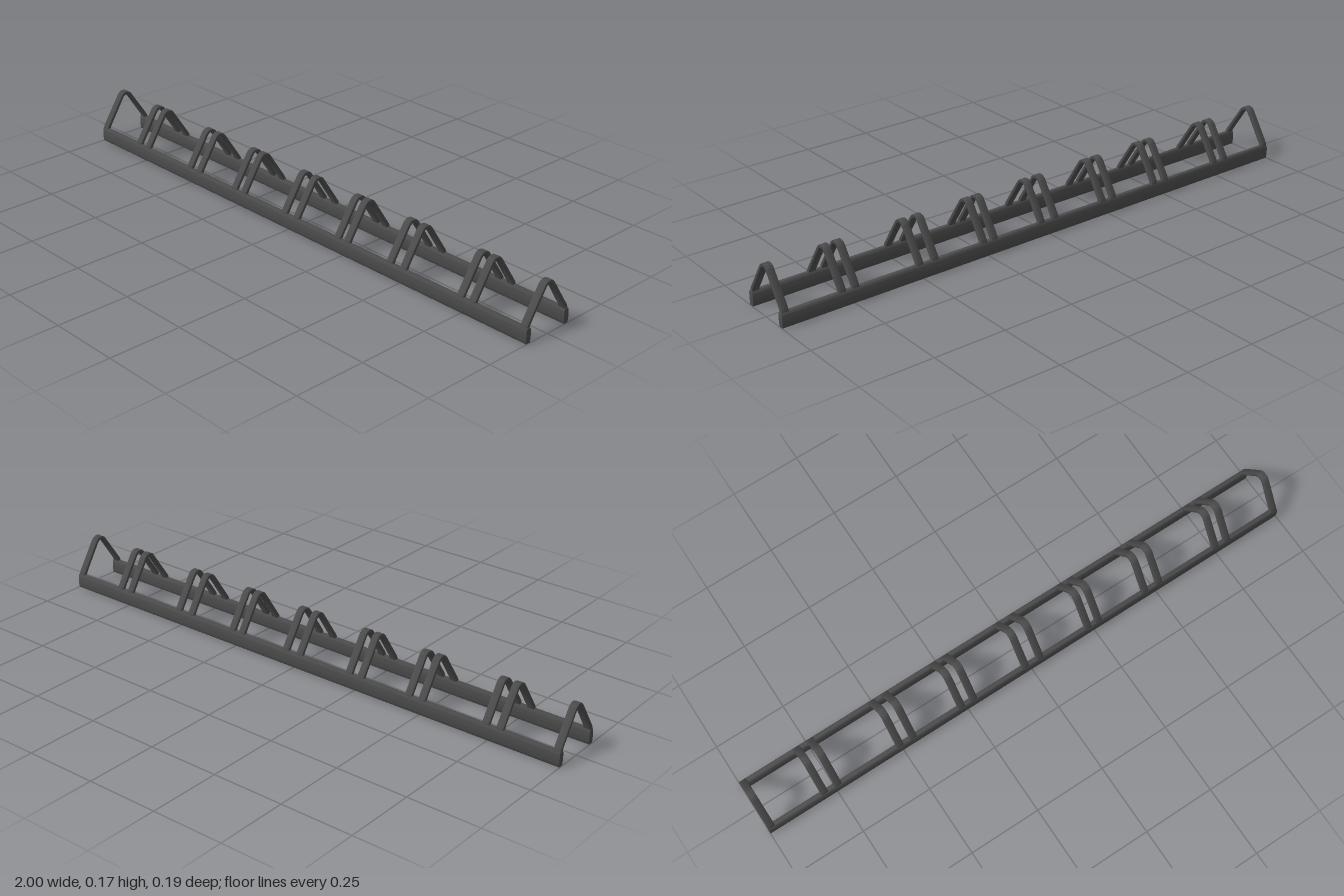
import * as THREE from 'three';
import { toCreasedNormals } from 'three/addons/utils/BufferGeometryUtils.js';

// Extrude a z-y outline along x, centred, with softly rounded edges
function extrudeAlongX(shape, length, bevel) {
  const geometry = new THREE.ExtrudeGeometry(shape, {
    depth: length - 2 * bevel, curveSegments: 6,
    bevelEnabled: true, bevelThickness: bevel, bevelSize: bevel,
    bevelOffset: -bevel, bevelSegments: 2,
  });
  geometry.translate(0, 0, -(length - 2 * bevel) / 2);
  geometry.rotateY(-Math.PI / 2);
  return toCreasedNormals(geometry, 0.8);
}

const mirror = (points) => points.map((p) => new THREE.Vector2(-p.x, p.y)).reverse();

// Bent strip: straight legs, sloping sides and a rounded peak
function hoopShape() {
  const outer = new THREE.Path()
    .moveTo(0.093, 0.02).lineTo(0.093, 0.042)
    .quadraticCurveTo(0.092, 0.054, 0.086, 0.064)
    .lineTo(0.022, 0.161)
    .quadraticCurveTo(0.013, 0.173, 0, 0.173).getPoints(6);
  const inner = new THREE.Path()
    .moveTo(0, 0.162).quadraticCurveTo(0.008, 0.162, 0.014, 0.154)
    .lineTo(0.075, 0.059)
    .quadraticCurveTo(0.079, 0.052, 0.079, 0.042)
    .lineTo(0.079, 0.02).getPoints(6);
  return new THREE.Shape([
    ...outer, ...mirror(outer).slice(1), ...mirror(inner), ...inner.slice(1),
  ]);
}

// Slightly bulging rail section, centred on z = 0
function railShape() {
  return new THREE.Shape()
    .moveTo(-0.006, 0).lineTo(0.006, 0)
    .quadraticCurveTo(0.009, 0, 0.009, 0.004)
    .quadraticCurveTo(0.013, 0.026, 0.009, 0.046)
    .quadraticCurveTo(0.007, 0.052, 0, 0.052)
    .quadraticCurveTo(-0.007, 0.052, -0.009, 0.046)
    .quadraticCurveTo(-0.013, 0.026, -0.009, 0.004)
    .quadraticCurveTo(-0.009, 0, -0.006, 0);
}

export function createModel() {
  const model = new THREE.Group();
  model.name = 'hoopedRack';
  const metal = new THREE.MeshStandardMaterial({ color: 0x4b4b4b });
  metal.name = 'dark grey metal';

  // Two long base rails
  const railGeometry = extrudeAlongX(railShape(), 2, 0.002);
  for (const side of [1, -1]) {
    const rail = new THREE.Mesh(railGeometry, metal);
    rail.name = side > 0 ? 'frontRail' : 'backRail';
    rail.position.z = side * 0.085;
    model.add(rail);
  }

  // Single hoops at the ends, pairs between them
  const hoopGeometry = extrudeAlongX(hoopShape(), 0.025, 0.002);
  const hoopPositions = [
    -0.987, -0.79, -0.74, -0.507, -0.457, -0.272, -0.225, -0.023,
    0.034, 0.225, 0.267, 0.454, 0.511, 0.743, 0.79, 0.985,
  ];
  hoopPositions.forEach((x, i) => {
    const hoop = new THREE.Mesh(hoopGeometry, metal);
    hoop.name = `hoop${i + 1}`;
    hoop.position.x = x;
    model.add(hoop);
  });
  return model;
}
